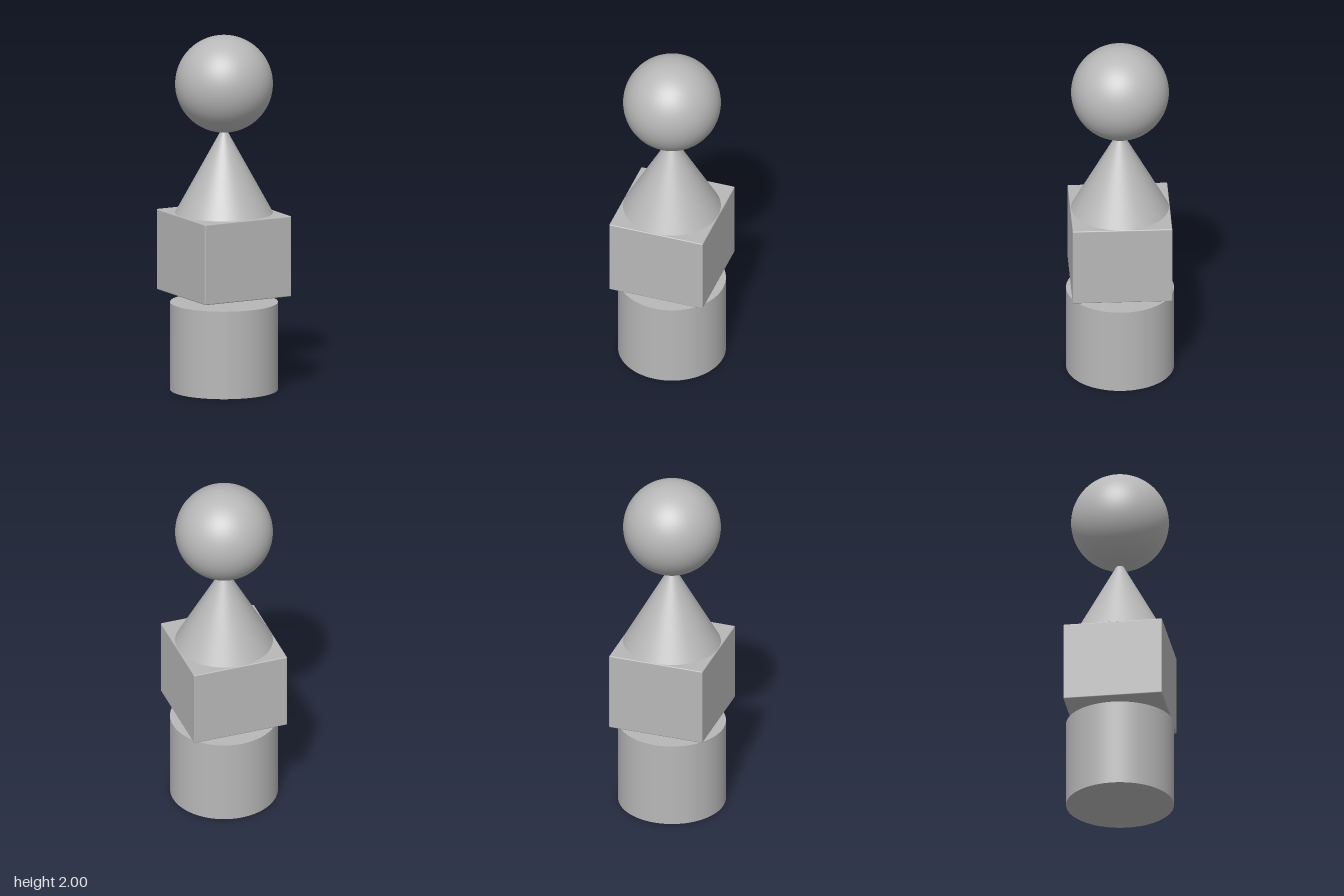
import * as THREE from 'three';
import { RoundedBoxGeometry } from 'three/addons/geometries/RoundedBoxGeometry.js';

export function createModel() {
  const group = new THREE.Group();
  const grey = new THREE.MeshStandardMaterial({ color: 0xb8b8b8 });
  grey.name = 'plain grey';

  const add = (name, geometry, y) => {
    const mesh = new THREE.Mesh(geometry, grey);
    mesh.name = name;
    mesh.position.y = y;
    group.add(mesh);
  };

  // Round base with a small gap above it
  add('baseCylinder', new THREE.CylinderGeometry(0.3, 0.3, 0.495, 96), 0.2475);

  // Slightly softened block
  add('block', new RoundedBoxGeometry(0.55, 0.455, 0.555, 3, 0.006), 0.7725);

  // Cone standing on the block, its tip sunk into the ball
  add('cone', new THREE.ConeGeometry(0.272, 0.495, 96), 1.2475);

  // Ball on top
  add('ball', new THREE.SphereGeometry(0.272, 64, 48), 1.728);

  return group;
}
